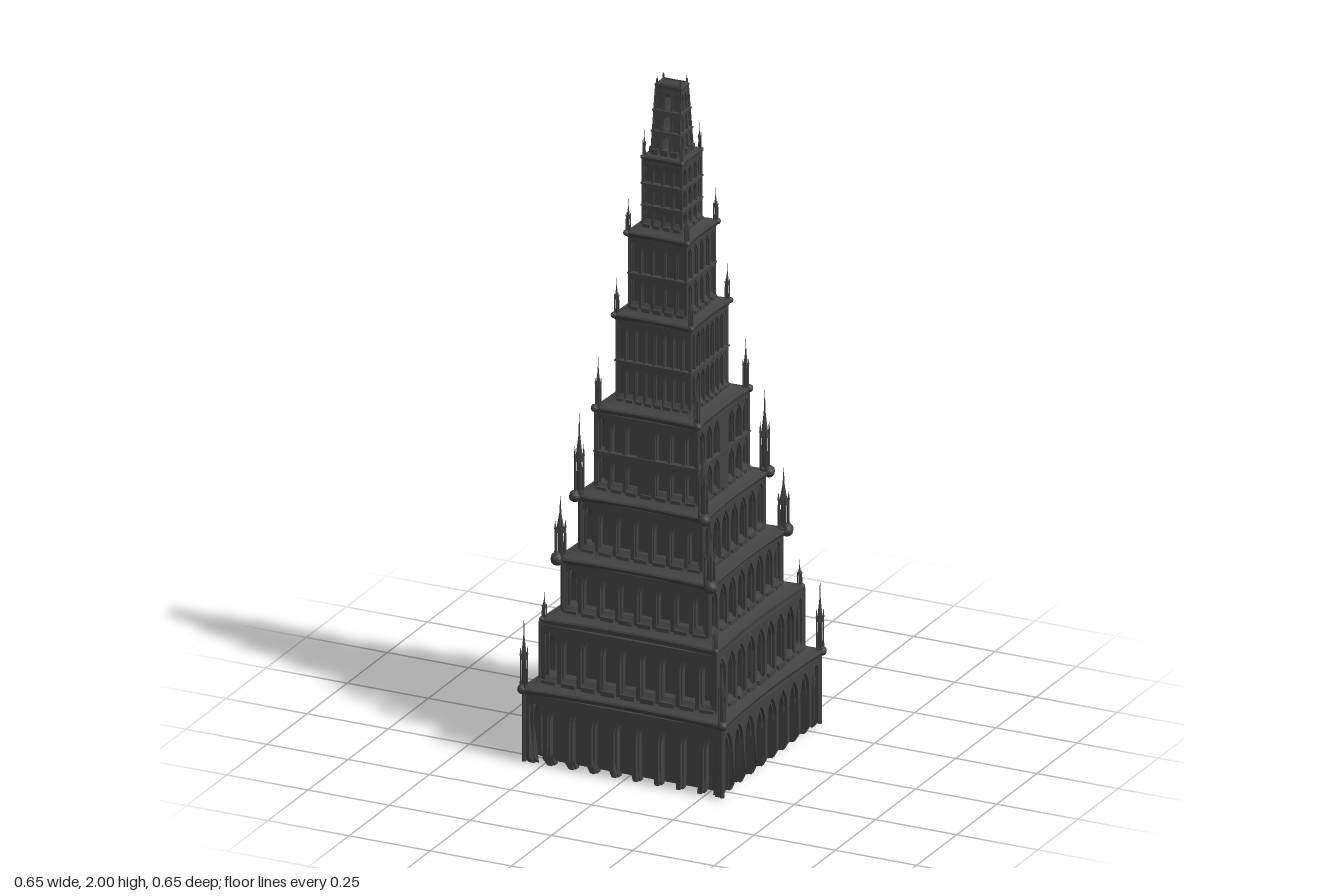
import * as THREE from 'three';
import { mergeGeometries, toCreasedNormals } from 'three/addons/utils/BufferGeometryUtils.js';

const material = new THREE.MeshStandardMaterial({ color: 0x424242, side: THREE.DoubleSide });

// y0..y1 height, h wall half width, c cornice half width, n bays per side, rows of arches,
// p pinnacle position, tip pinnacle top, r pinnacle radius
const TIERS = [
  { y0: 0, y1: 0.22, h: 0.308, c: 0.314, n: 9, rows: 1, p: 0.305, tip: 0.43, r: 0.011 },
  { y0: 0.22, y1: 0.42, h: 0.274, c: 0.272, n: 9, rows: 1, p: 0.263, tip: 0.5, r: 0.007 },
  { y0: 0.42, y1: 0.595, h: 0.228, c: 0.24, n: 8, rows: 1, p: 0.23, tip: 0.78, r: 0.016 },
  { y0: 0.595, y1: 0.775, h: 0.192, c: 0.203, n: 7, rows: 1, p: 0.191, tip: 1.02, r: 0.014 },
  { y0: 0.775, y1: 1.03, h: 0.16, c: 0.162, n: 7, rows: 2, p: 0.152, tip: 1.18, r: 0.009, plain: 3 },
  { y0: 1.03, y1: 1.3, h: 0.116, c: 0.122, n: 8, rows: 2, p: 0.114, tip: 1.41, r: 0.007, through: [-0.0145, 0.0145], openRows: [0, 1], w: 0.02 },
  { y0: 1.3, y1: 1.54, h: 0.09, c: 0.096, n: 5, rows: 2, p: 0.09, tip: 1.64, r: 0.007, through: [-0.064, 0.064], openRows: [1], w: 0.026 },
  { y0: 1.54, y1: 1.76, h: 0.062, c: 0.062, n: 4, rows: 3, p: 0.057, tip: 1.84, r: 0.005 },
  { y0: 1.76, y1: 1.965, h: 0.045, c: 0.045, n: 3, rows: 3, p: 0.04, tip: 1.995, r: 0.003,
    through: [0], openRows: [0, 1, 2], w: 0.021, alongZ: true, taper: [0.9, 0.5] },
];

// Pointed arch from the foot at y0 up to its point and back down
function traceArch(path, x, w, y0, top) {
  const spring = top - Math.min(w * 1.1, (top - y0) * 0.5);
  const foot = y0 + (top - y0) * 0.12;
  path.lineTo(x - w / 2, y0);
  path.lineTo(x - w / 2, foot);
  path.lineTo(x - w / 2, spring);
  path.quadraticCurveTo(x - w / 2, spring + (top - spring) * 0.6, x, top);
  path.quadraticCurveTo(x + w / 2, spring + (top - spring) * 0.6, x + w / 2, spring);
  path.lineTo(x + w / 2, foot);
  path.lineTo(x + w / 2, y0);
}

// Row of arches standing on piers, copied to all four sides
function arcade(h, y0, y1, n, fill, top, depth, inset, plain) {
  const half = h - inset, bay = (2 * h) / n;
  const shape = new THREE.Shape();
  shape.moveTo(-half, y1);
  shape.lineTo(-half, y0 + (y1 - y0) * 0.1);
  shape.lineTo(-half, y0);
  for (let i = 0; i < n; i++) {
    if (i !== plain) traceArch(shape, -h + bay * (i + 0.5), bay * fill, y0, top);
  }
  shape.lineTo(half, y0);
  shape.lineTo(half, y0 + (y1 - y0) * 0.1);
  shape.lineTo(half, y1);
  const side = new THREE.ExtrudeGeometry(shape, { depth, bevelEnabled: false, curveSegments: 5 });
  side.translate(0, 0, half - depth);
  return mergeGeometries([0, 1, 2, 3].map(k => side.clone().rotateY(k * Math.PI / 2)));
}

// Square ring with inward-bowed sides, lofted through [half width, y] steps
function squareLoft(profile, bow) {
  const K = 10, N = K * 4, pos = [], idx = [];
  for (const [a, y] of profile) {
    for (let s = 0; s < 4; s++) {
      for (let i = 0; i < K; i++) {
        const t = -1 + (2 * i) / K;
        const p = new THREE.Vector3(t * a, y, a - bow * (1 - Math.abs(t) ** 1.6));
        p.applyAxisAngle(THREE.Object3D.DEFAULT_UP, s * Math.PI / 2);
        pos.push(p.x, p.y, p.z);
      }
    }
  }
  for (let r = 0; r < profile.length - 1; r++) {
    for (let i = 0; i < N; i++) {
      const a = r * N + i, b = r * N + (i + 1) % N;
      idx.push(a, b, b + N, a, b + N, a + N);
    }
  }
  const g = new THREE.BufferGeometry();
  g.setAttribute('position', new THREE.Float32BufferAttribute(pos, 3));
  g.setIndex(idx);
  g.computeVertexNormals();
  return toCreasedNormals(g, 0.6);
}

// Open four-legged lantern with a slender spire
function pinnacle(y, tip, r) {
  const H = tip - y, parts = [];
  const add = (r1, r0, h, y0, sides, x = 0, z = 0) =>
    parts.push(new THREE.CylinderGeometry(r1, r0, h, sides).translate(x, y0 + h / 2, z));
  add(r * 1.1, r * 0.8, H * 0.06 + 0.008, y - 0.01, 8);
  for (const x of [-1, 1]) for (const z of [-1, 1]) {
    add(r * 0.22, r * 0.3, H * 0.5, y, 4, x * r * 0.6, z * r * 0.6);
    add(0, r * 0.25, H * 0.14, y + H * 0.48, 4, x * r * 0.65, z * r * 0.65);
  }
  add(r * 0.35, r * 0.45, H * 0.45, y, 4);
  add(r * 0.85, r * 0.95, H * 0.04, y + H * 0.42, 4);
  add(r * 0.22, r * 0.8, H * 0.26, y + H * 0.46, 4);
  add(0.0004, r * 0.22, H * 0.28, y + H * 0.72, 4);
  return mergeGeometries(parts);
}

function buildTier(t, index, next) {
  const group = new THREE.Group();
  group.name = 'tier' + (index + 1);
  const add = (name, geometry) => {
    const pos = geometry.attributes.position;
    for (let i = 0; i < pos.count; i++) {
      const y = pos.getY(i);
      let sx = 1, sz = 1;
      if (t.taper) {
        const f = THREE.MathUtils.clamp((y - t.y0) / (t.y1 - t.y0), 0, 1);
        sx = 1 + (t.taper[0] - 1) * f;
        sz = 1 + (t.taper[1] - 1) * f;
      }
      if (index === 0 && y < 0.001) sx = sz = 0.96; // rounded pier feet
      pos.setX(i, pos.getX(i) * sx);
      pos.setZ(i, pos.getZ(i) * sz);
    }
    if (t.taper) geometry.computeVertexNormals();
    const mesh = new THREE.Mesh(geometry, material);
    mesh.name = name;
    group.add(mesh);
  };

  const base = index ? t.y0 + 0.012 : 0;
  const rowH = (t.y1 - 0.012 - base) / t.rows;
  const depth = t.h * 0.05 + 0.004;
  const coreHalf = t.through ? t.h * 0.9 : t.h * 0.86;

  // Core, pierced by lancets where the passage runs right through
  const core = new THREE.Shape([
    [-coreHalf, index ? t.y0 : 0.004], [coreHalf, index ? t.y0 : 0.004], [coreHalf, t.y1], [-coreHalf, t.y1],
  ].map(p => new THREE.Vector2(...p)));
  for (const row of t.openRows || []) for (const x of t.through) {
    const hole = new THREE.Path(), y = base + row * rowH + rowH * 0.1;
    hole.moveTo(x - t.w / 2, y);
    traceArch(hole, x, t.w, y, base + (row + 0.88) * rowH);
    core.holes.push(hole);
  }
  const coreGeo = new THREE.ExtrudeGeometry(core, { depth: coreHalf * 2, bevelEnabled: false, curveSegments: 5 });
  coreGeo.translate(0, 0, -coreHalf);
  if (!t.alongZ) coreGeo.rotateY(Math.PI / 2);
  add('core', coreGeo);

  // Arcades: a bold outer order and a slimmer recessed one
  for (let r = 0; r < t.rows; r++) {
    const y0 = base + r * rowH, y1 = y0 + rowH, top = y0 + rowH * 0.92;
    add('outerArcade', arcade(t.h, y0, y1, t.n, 0.8, top, depth, 0, t.plain));
    add('innerArcade', arcade(t.h, y0, y1, t.n, 0.66, top - rowH * 0.05, depth, depth * 0.5, t.plain));
    if (r) add('stringCourse', squareLoft([[t.h - 0.006, y0 - 0.005], [t.h + 0.003, y0 - 0.002],
      [t.h + 0.003, y0 + 0.002], [t.h - 0.006, y0 + 0.005]], 0));
  }

  // Cornice with a concave roof sweeping up to the next wall
  const inner = next ? next.h - 0.004 : t.h * 0.7;
  const gap = t.c - inner, y = t.y1, rise = next ? Math.min(0.035, gap) : 0.004;
  add('cornice', squareLoft([
    [t.h - 0.006, y - 0.03], [t.h - 0.001, y - 0.018], [t.c, y - 0.006], [t.c + 0.002, y], [t.c - 0.001, y + 0.005],
    [inner + gap * 0.55, y + 0.008], [inner + gap * 0.2, y + rise * 0.5], [inner, y + rise], [inner * 0.8, y + rise],
  ], t.c * 0.04));
  if (!next) add('topSlab', new THREE.BoxGeometry(t.h * 1.6, 0.006, t.h * 1.6).translate(0, y, 0));

  // Parapet blocks at the foot of the next wall
  if (next) {
    const blocks = [], pitch = (2 * next.h) / next.n;
    for (let s = 0; s < 4; s++) for (let i = 0; i < next.n; i++) {
      blocks.push(new THREE.BoxGeometry(pitch * 0.7, 0.016, 0.008)
        .translate(-next.h + pitch * (i + 0.5), y + 0.016, next.h + 0.002).rotateY(s * Math.PI / 2));
    }
    add('parapetBlocks', mergeGeometries(blocks));
  }

  // Corner pinnacles and slim corner shafts under them
  for (const x of [-1, 1]) for (const z of [-1, 1]) {
    add('pinnacle', pinnacle(y, t.tip, t.r).translate(x * t.p, 0, z * t.p));
    add('cornerKnob', new THREE.SphereGeometry(t.r * 1.25, 8, 6).translate(x * t.c * 0.985, y, z * t.c * 0.985));
    add('cornerShaft', new THREE.CylinderGeometry(t.r * 0.6, t.r * 0.6, y - base - 0.01, 8)
      .translate(x * (t.h - t.r * 0.3), (y + base) / 2, z * (t.h - t.r * 0.3)));
  }
  return group;
}

export function createModel() {
  const model = new THREE.Group();
  model.name = 'steppedTower';
  TIERS.forEach((t, i) => model.add(buildTier(t, i, TIERS[i + 1])));
  return model;
}
